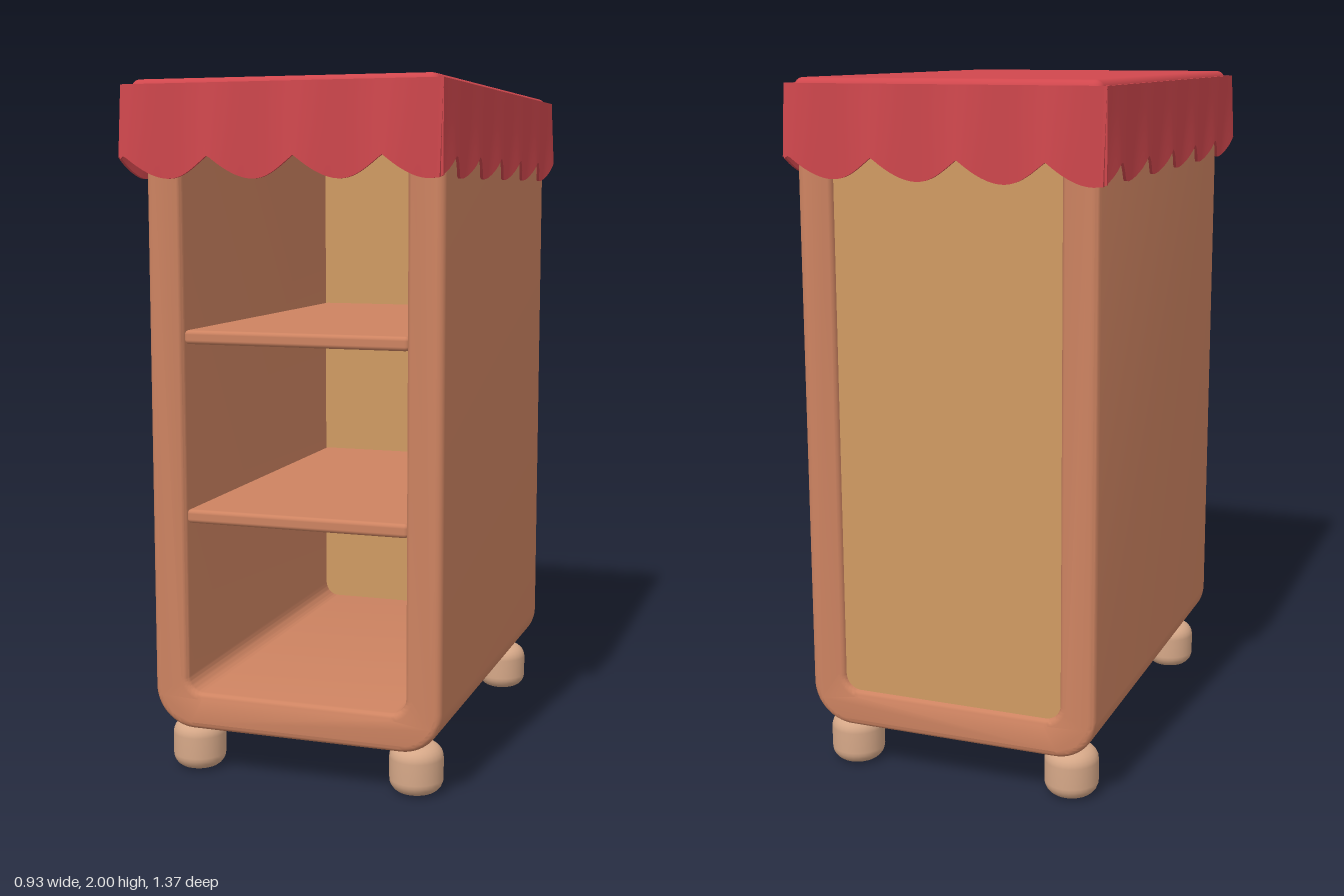
import * as THREE from 'three';
import { mergeVertices, toCreasedNormals } from 'three/addons/utils/BufferGeometryUtils.js';
import { RoundedBoxGeometry } from 'three/addons/geometries/RoundedBoxGeometry.js';

const mat = (name, color) => {
  const m = new THREE.MeshStandardMaterial({ color });
  m.name = name;
  return m;
};

// rectangle with separate radii for the bottom and top corners
function roundedRect(path, x, y0, y1, rb, rt) {
  path.moveTo(-x + rb, y0);
  path.lineTo(x - rb, y0);
  path.absarc(x - rb, y0 + rb, rb, -Math.PI / 2, 0);
  path.lineTo(x, y1 - rt);
  path.absarc(x - rt, y1 - rt, rt, 0, Math.PI / 2);
  path.lineTo(-x + rt, y1);
  path.absarc(-x + rt, y1 - rt, rt, Math.PI / 2, Math.PI);
  path.lineTo(-x, y0 + rb);
  path.absarc(-x + rb, y0 + rb, rb, Math.PI, Math.PI * 1.5);
  return path;
}

function smooth(geometry, angle) {
  geometry.deleteAttribute('uv');
  geometry.deleteAttribute('normal');
  return toCreasedNormals(mergeVertices(geometry, 1e-4), angle);
}

// cloth strip with a scalloped lower edge that ripples outward at the cusps
function valanceGeometry(length, cusp, period) {
  const g = new THREE.BoxGeometry(length, 1, 0.008, 96, 4, 1);
  const p = g.attributes.position;
  for (let i = 0; i < p.count; i++) {
    const a = Math.PI * (p.getX(i) - cusp) / period;
    const down = 0.5 - p.getY(i);
    const bottom = 1.792 - 0.062 * Math.abs(Math.sin(a));
    p.setY(i, THREE.MathUtils.lerp(1.985, bottom, down));
    p.setZ(i, p.getZ(i) + 0.01 * Math.cos(2 * a) * down);
  }
  g.computeVertexNormals();
  return g;
}

export function createModel() {
  const model = new THREE.Group();
  model.name = 'shelfStand';
  const wood = mat('terracotta wood', 0xcd8361);
  const panelWood = mat('tan panel', 0xd09b62);
  const footWood = mat('pale foot wood', 0xd6a888);
  const cloth = mat('red awning', 0xd0474d);

  const add = (name, geometry, material, x = 0, y = 0, z = 0) => {
    const mesh = new THREE.Mesh(geometry, material);
    mesh.name = name;
    mesh.position.set(x, y, z);
    model.add(mesh);
    return mesh;
  };

  // hollow cabinet shell, open at the front
  const shell = roundedRect(new THREE.Shape(), 0.435, 0.14, 1.95, 0.12, 0.03);
  shell.holes.push(roundedRect(new THREE.Path(), 0.33, 0.25, 1.87, 0.045, 0.03));
  const bevel = 0.02;
  const shellGeometry = new THREE.ExtrudeGeometry(shell, {
    depth: 1.235 - 2 * bevel, bevelThickness: bevel, bevelSize: bevel,
    bevelOffset: -bevel, bevelSegments: 4, curveSegments: 10,
  });
  add('cabinetShell', smooth(shellGeometry, 0.7), wood, 0, 0, -0.66 + bevel);

  // back panel set into the shell
  const panel = roundedRect(new THREE.Shape(), 0.335, 0.245, 1.875, 0.045, 0.03);
  add('backPanel', new THREE.ExtrudeGeometry(panel, { depth: 0.02, bevelEnabled: false }),
    panelWood, 0, 0, -0.645);

  // shelves
  for (const y of [0.77, 1.287]) {
    add('shelf', new RoundedBoxGeometry(0.665, 0.04, 1.19, 3, 0.012), wood, 0, y, -0.035);
  }

  // rounded feet
  const r = 0.078, h = 0.142, c = 0.04;
  const profile = [new THREE.Vector2(0, 0)];
  for (let i = 0; i <= 6; i++) {
    const a = -Math.PI / 2 + i * Math.PI / 12;
    profile.push(new THREE.Vector2(r - c + c * Math.cos(a), c + c * Math.sin(a)));
  }
  for (let i = 0; i <= 6; i++) {
    const a = i * Math.PI / 12;
    profile.push(new THREE.Vector2(r - c + c * Math.cos(a), h - c + c * Math.sin(a)));
  }
  profile.push(new THREE.Vector2(0, h));
  const footGeometry = new THREE.LatheGeometry(profile, 28);
  for (const x of [-0.337, 0.337]) {
    for (const z of [0.478, -0.565]) add('foot', footGeometry, footWood, x, 0, z);
  }

  // awning top
  add('awningTop', new RoundedBoxGeometry(0.88, 0.08, 1.325, 4, 0.025), cloth, 0, 1.96, -0.003);

  // scalloped valance, the same strips turned half way round for the far sides
  const endStrip = valanceGeometry(0.915, 0.048, 0.247);
  const sideStrip = valanceGeometry(1.35, -0.07, 0.25);
  for (const s of [1, -1]) {
    const turn = s === 1 ? 0 : Math.PI;
    add(s === 1 ? 'frontValance' : 'backValance', endStrip, cloth, 0, 0, s * 0.671)
      .rotation.y = turn;
    add(s === 1 ? 'leftValance' : 'rightValance', sideStrip, cloth, s * 0.453, 0, 0)
      .rotation.y = turn + Math.PI / 2;
  }
  return model;
}
